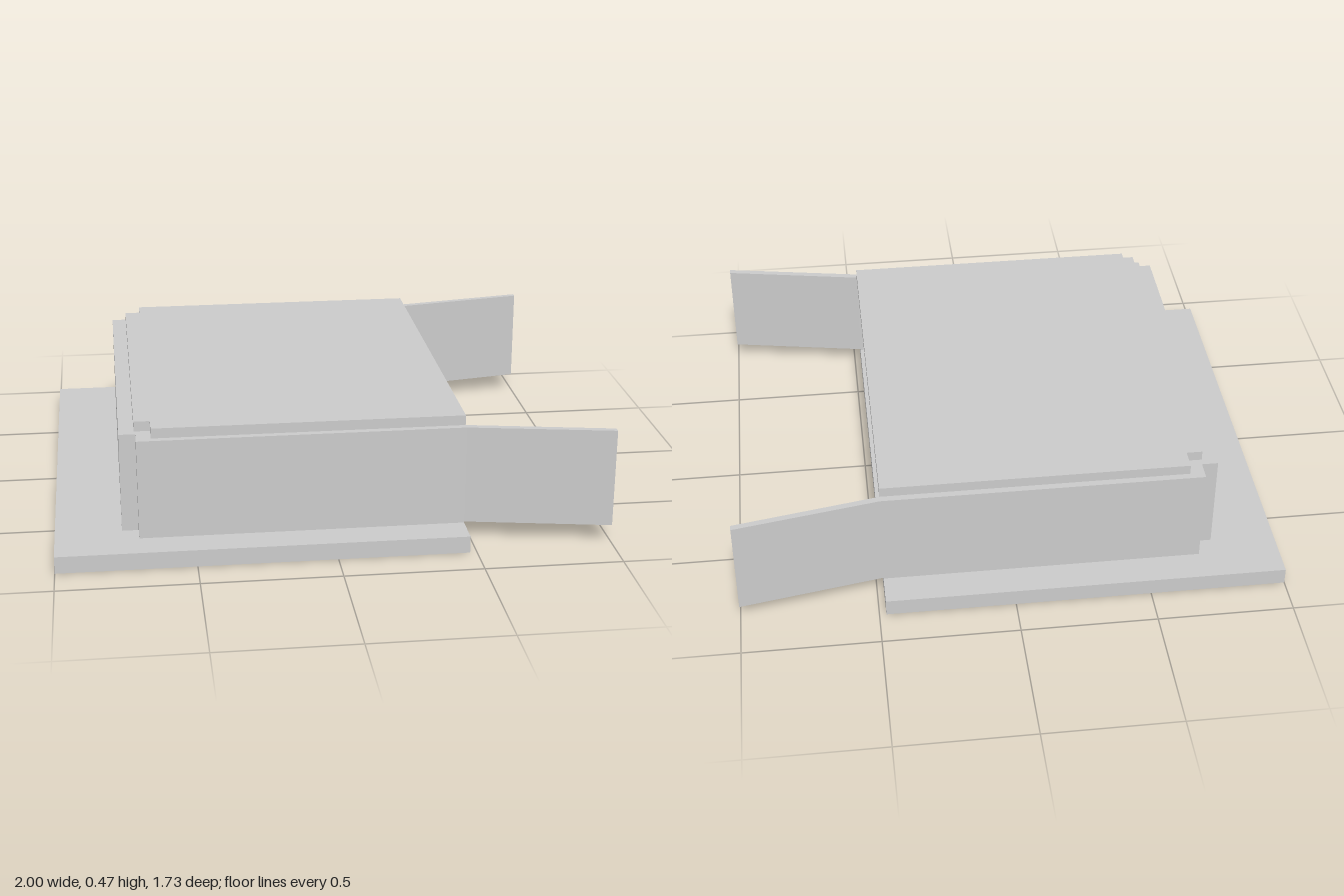
import * as THREE from 'three';

const material = new THREE.MeshStandardMaterial({ color: 0xcccccc, flatShading: true });

// Extrudes a plan outline of [x, z] points from height y0 up to y1.
function slab(name, plan, y0, y1) {
  const shape = new THREE.Shape(plan.map(([x, z]) => new THREE.Vector2(x, -z)));
  const geometry = new THREE.ExtrudeGeometry(shape, { depth: y1 - y0, bevelEnabled: false });
  geometry.rotateX(-Math.PI / 2).translate(0, y0, 0);
  const mesh = new THREE.Mesh(geometry, material);
  mesh.name = name;
  return mesh;
}

// Completes a half outline (z >= 0) by reflecting it in the x axis.
const mirrored = (half) => [...half, ...half.map(([x, z]) => [x, -z]).reverse()];

// Extrudes an [x, y] profile across z from z0 to z1.
function prism(name, profile, z0, z1) {
  const shape = new THREE.Shape(profile.map(([x, y]) => new THREE.Vector2(x, y)));
  const geometry = new THREE.ExtrudeGeometry(shape, { depth: z1 - z0, bevelEnabled: false });
  geometry.translate(0, 0, z0);
  const mesh = new THREE.Mesh(geometry, material);
  mesh.name = name;
  return mesh;
}

export function createModel() {
  const group = new THREE.Group();
  group.name = 'shelter';

  const floor = 0.063, ceiling = 0.433, front = 0.475;
  const bayFront = 0.297, bayBack = 0.203;

  // Ground slab
  group.add(slab('base', mirrored([[-1, 0.863], [front, 0.863]]), 0, floor));

  // Body: notched back corners, splayed entrance, two tapered bays and a centre pillar
  group.add(slab('walls', mirrored([
    [-0.76, 0.667], [-0.70, 0.667], [-0.70, 0.74],
    [front, 0.74], [front, 0.715], [0.42, 0.715],
    [bayFront, 0.6], [bayBack, 0.587], [bayBack, 0.105], [bayFront, 0.095],
  ]), floor, ceiling));

  // Roof slab, stepped in from the walls
  group.add(slab('roof', mirrored([
    [-0.705, 0.64], [-0.647, 0.64], [-0.647, 0.715], [front, 0.715],
  ]), ceiling, 0.47));

  for (const side of [1, -1]) {
    // Splayed wing wall
    group.add(slab('wingWall', [
      [front, 0.74 * side], [front, 0.715 * side], [1, 0.812 * side], [1, 0.835 * side],
    ], 0.067, ceiling));

    // Sloping sill and lintel that taper each bay
    const z0 = side > 0 ? 0.098 : -0.597;
    const z1 = z0 + 0.499;
    group.add(prism('baySill',
      [[bayBack, floor], [bayFront, floor], [bayBack, floor + 0.012]], z0, z1));
    group.add(prism('bayLintel',
      [[bayBack, ceiling], [bayBack, ceiling - 0.012], [bayFront, ceiling]], z0, z1));
  }
  return group;
}
